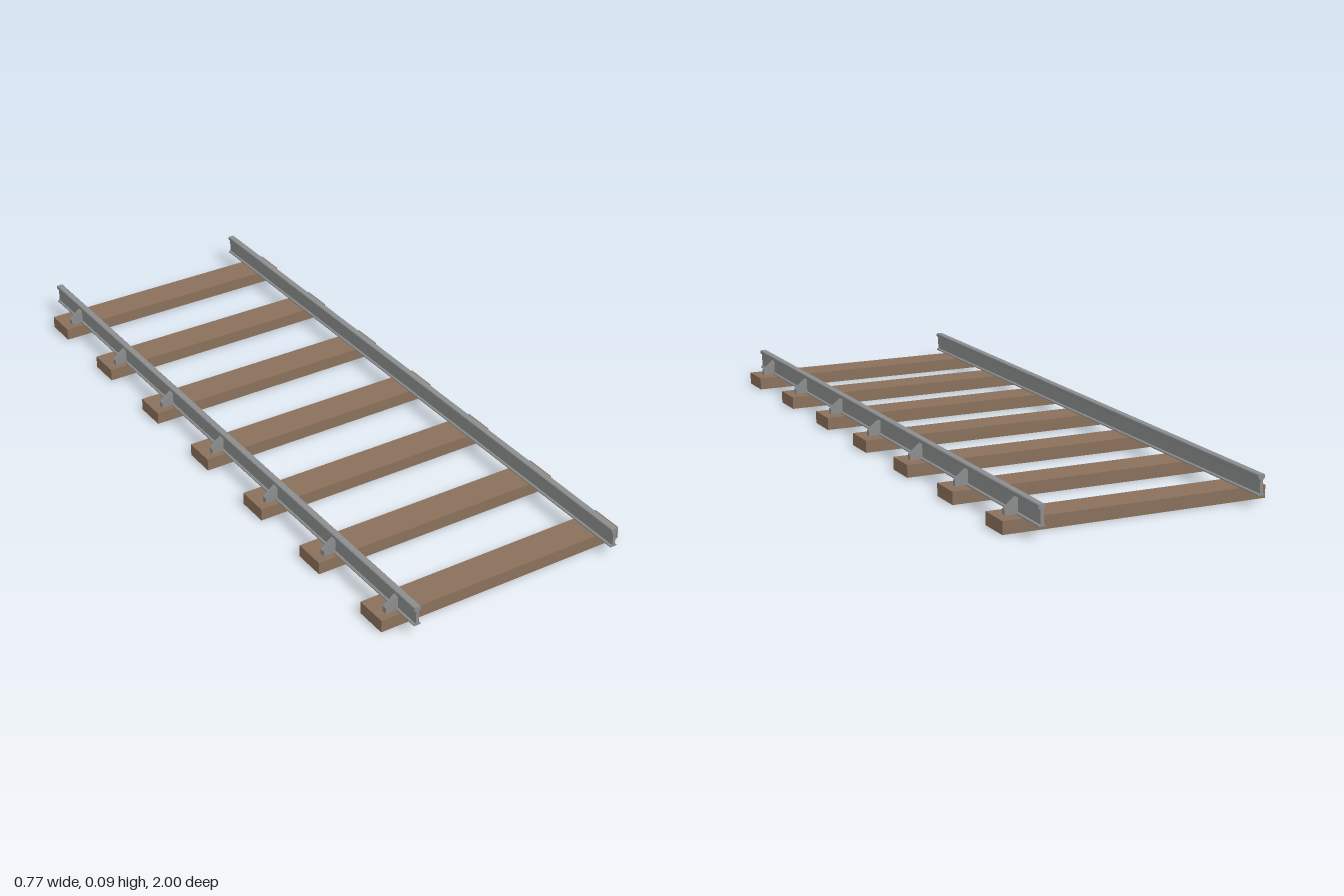
import * as THREE from 'three';

const wood = new THREE.MeshStandardMaterial({ color: 0x8a705b, side: THREE.DoubleSide });
const steel = new THREE.MeshStandardMaterial({ color: 0x8c8d8e, side: THREE.DoubleSide });

function addMesh(parent, name, geometry, material) {
  const mesh = new THREE.Mesh(geometry, material);
  mesh.name = name;
  parent.add(mesh);
  return mesh;
}

// Extrude an x/y outline along z, centred on z = 0
function prism(points, depth) {
  const shape = new THREE.Shape(points.map(([x, y]) => new THREE.Vector2(x, y)));
  return new THREE.ExtrudeGeometry(shape, { depth, bevelEnabled: false }).translate(0, 0, -depth / 2);
}

// Box without its underside
function openBox(w, h, d) {
  const g = new THREE.BoxGeometry(w, h, d);
  const index = Array.from(g.index.array);
  index.splice(18, 6);
  g.setIndex(index);
  g.clearGroups();
  return g.translate(0, h / 2, 0);
}

export function createModel() {
  const track = new THREE.Group();
  track.name = 'railwayTrack';

  const top = 0.036, railX = 0.3175;
  const count = 7, spacing = 0.293, firstZ = -0.868;

  // Half of the rail section, mirrored into a full outline
  const half = [
    [0.01, top], [0.01, 0.039], [0.0045, 0.042], [0.0045, 0.08],
    [0.008, 0.081], [0.01, 0.083], [0.01, 0.091], [0.008, 0.093],
  ];
  const outline = [...half, ...half.map(([x, y]) => [-x, y]).reverse()];
  const railGeometry = prism(outline, 2);

  // Wedge that props the outer side of a rail
  const braceGeometry = prism([
    [0.003, top], [0.041, top], [0.041, 0.052], [0.006, 0.08], [0.003, 0.08],
  ], 0.015);
  const sleeperGeometry = openBox(0.77, top, 0.096);
  const spikeGeometry = new THREE.CylinderGeometry(0.002, 0.002, 0.004, 6);

  // Rails
  for (const side of [1, -1]) {
    const rail = addMesh(track, side > 0 ? 'leftRail' : 'rightRail', railGeometry, steel);
    rail.position.x = side * railX;
  }

  // Sleepers with their rail braces and spikes
  for (let i = 0; i < count; i++) {
    const sleeper = new THREE.Group();
    sleeper.name = 'sleeper' + (i + 1);
    sleeper.position.z = firstZ + i * spacing;
    track.add(sleeper);
    addMesh(sleeper, 'sleeperBeam', sleeperGeometry, wood);

    for (const side of [1, -1]) {
      const z = side > 0 ? 0 : 0.022;
      const brace = addMesh(sleeper, 'railBrace', braceGeometry, steel);
      brace.position.set(side * railX, 0, z);
      if (side < 0) brace.rotation.y = Math.PI;
      const spike = addMesh(sleeper, 'spike', spikeGeometry, steel);
      spike.position.set(side * 0.37, top + 0.001, z);
    }
  }
  return track;
}
